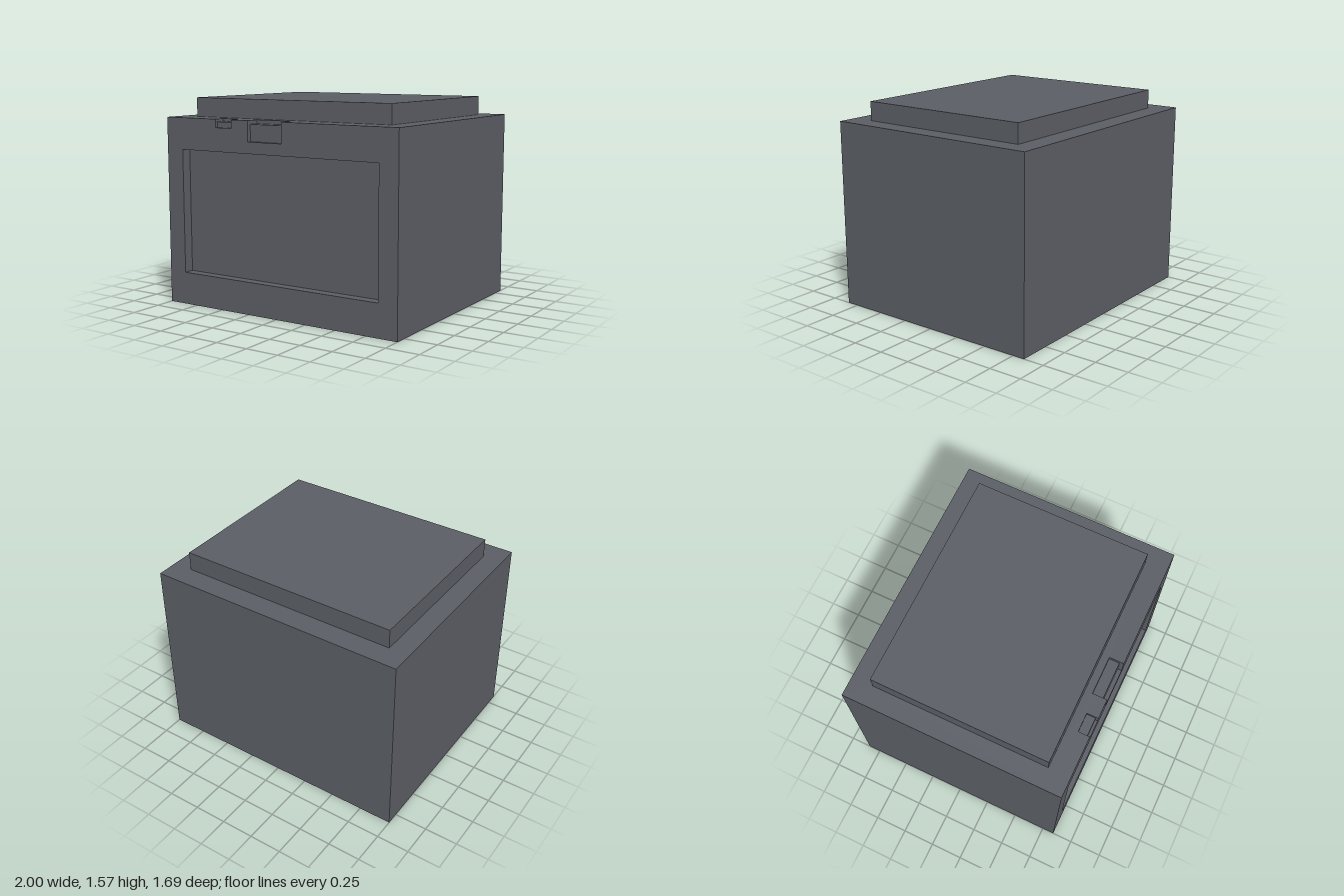
import * as THREE from 'three';

const X = 1, Z = 0.843, H = 1.422;

// Stepped cut-outs along the top front edge
const notches = [
  { name: 'largeNotch', x0: -0.235, x1: 0.06, bottom: 1.27, floor: 1.394, back: 0.732, face: 0.812 },
  { name: 'smallNotch', x0: -0.53, x1: -0.385, bottom: 1.36, floor: 1.402, back: 0.755, face: 0.823 },
];

export function createModel() {
  const model = new THREE.Group();
  const casing = new THREE.MeshStandardMaterial({ color: 0x5a5d64, side: THREE.DoubleSide });
  casing.name = 'charcoal casing';

  function add(name, geometry) {
    const mesh = new THREE.Mesh(geometry, casing);
    mesh.name = name;
    model.add(mesh);
    return mesh;
  }

  // Flat-faced surface from a list of four-cornered faces, counter-clockwise from outside
  function quads(name, faces) {
    const points = faces.flatMap(([a, b, c, d]) => [a, b, c, a, c, d]).flat();
    const geometry = new THREE.BufferGeometry();
    geometry.setAttribute('position', new THREE.Float32BufferAttribute(points, 3));
    geometry.computeVertexNormals();
    return add(name, geometry);
  }

  // Panel with notches in one long edge and a rectangular opening
  function panel(name, plainEdge, notchedEdge, depthOf, [x0, x1, y0, y1]) {
    const outline = [[-X, plainEdge], [X, plainEdge], [X, notchedEdge]];
    for (const n of notches) {
      const d = depthOf(n);
      outline.push([n.x1, notchedEdge], [n.x1, d], [n.x0, d], [n.x0, notchedEdge]);
    }
    outline.push([-X, notchedEdge]);
    const shape = new THREE.Shape(outline.map(([x, y]) => new THREE.Vector2(x, y)));
    const hole = [[x0, y0], [x0, y1], [x1, y1], [x1, y0]];
    shape.holes.push(new THREE.Path(hole.map(([x, y]) => new THREE.Vector2(x, y))));
    return add(name, new THREE.ShapeGeometry(shape));
  }

  // Front and top of the hollow casing
  const win = { x0: -0.853, x1: 0.85, y0: 0.245, y1: 1.184, back: Z - 0.078 };
  panel('frontPanel', 0, H, (n) => n.bottom, [win.x0, win.x1, win.y0, win.y1]).position.z = Z;
  const lid = { x: 0.849, z0: -0.678, z1: 0.675, top: 1.566 };
  const top = panel('topPanel', Z, -Z, (n) => -n.back, [-lid.x, lid.x, -lid.z1, -lid.z0]);
  top.rotation.x = -Math.PI / 2;
  top.position.y = H;

  // Sides and back, open underneath
  quads('sideAndBackWalls', [
    [[X, 0, Z], [X, 0, -Z], [X, H, -Z], [X, H, Z]],
    [[-X, 0, -Z], [-X, 0, Z], [-X, H, Z], [-X, H, -Z]],
    [[X, 0, -Z], [-X, 0, -Z], [-X, H, -Z], [X, H, -Z]],
  ]);

  // Shallow recess in the front panel
  const { x0, x1, y0, y1, back } = win;
  quads('frontRecess', [
    [[x0, y0, back], [x1, y0, back], [x1, y1, back], [x0, y1, back]],
    [[x0, y0, Z], [x1, y0, Z], [x1, y0, back], [x0, y0, back]],
    [[x0, y1, back], [x1, y1, back], [x1, y1, Z], [x0, y1, Z]],
    [[x0, y0, Z], [x0, y0, back], [x0, y1, back], [x0, y1, Z]],
    [[x1, y0, back], [x1, y0, Z], [x1, y1, Z], [x1, y1, back]],
  ]);

  // Raised block on top
  const { x: w, z0, z1, top: t } = lid;
  quads('raisedLid', [
    [[-w, t, z1], [w, t, z1], [w, t, z0], [-w, t, z0]],
    [[-w, H, z1], [w, H, z1], [w, t, z1], [-w, t, z1]],
    [[w, H, z0], [-w, H, z0], [-w, t, z0], [w, t, z0]],
    [[w, H, z1], [w, H, z0], [w, t, z0], [w, t, z1]],
    [[-w, H, z0], [-w, H, z1], [-w, t, z1], [-w, t, z0]],
  ]);

  // Notch linings: a stepped strip between two L-shaped cheeks
  for (const n of notches) {
    const step = [[n.bottom, Z], [n.bottom, n.face], [n.floor, n.face], [n.floor, n.back], [H, n.back]];
    const faces = [];
    for (let i = 0; i < step.length - 1; i++) {
      const [ya, za] = step[i], [yb, zb] = step[i + 1];
      faces.push([[n.x0, ya, za], [n.x1, ya, za], [n.x1, yb, zb], [n.x0, yb, zb]]);
    }
    const cheeks = [[n.bottom, H, n.face, Z], [n.floor, H, n.back, n.face]];
    for (const [ya, yb, za, zb] of cheeks) {
      faces.push([[n.x0, ya, zb], [n.x0, ya, za], [n.x0, yb, za], [n.x0, yb, zb]]);
      faces.push([[n.x1, ya, za], [n.x1, ya, zb], [n.x1, yb, zb], [n.x1, yb, za]]);
    }
    quads(n.name, faces);
  }

  return model;
}
